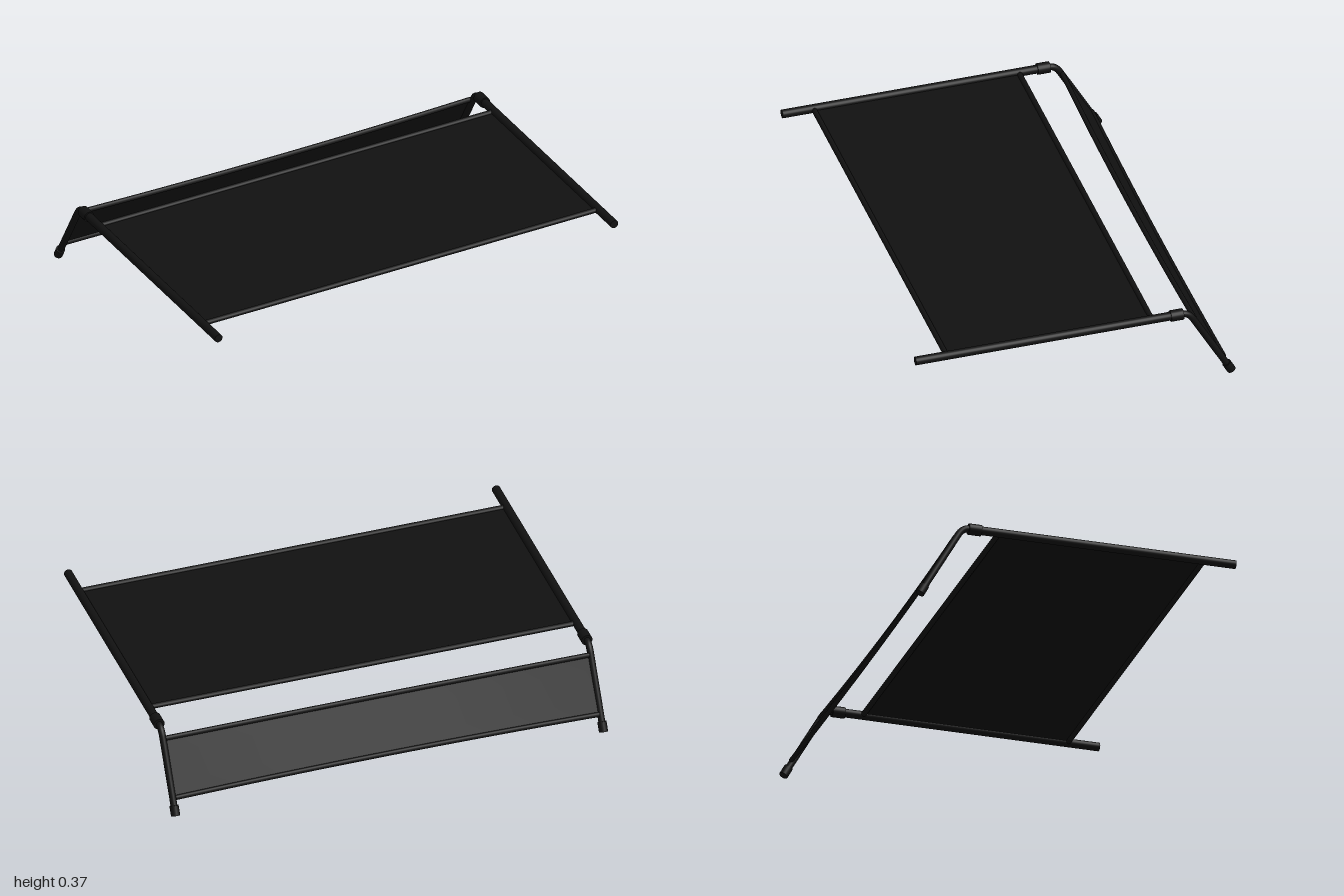
import * as THREE from 'three';

const dark = new THREE.MeshStandardMaterial({ color: 0x111111 });
const cloth = new THREE.MeshStandardMaterial({ color: 0x111111, side: THREE.DoubleSide });
const railX = 0.975, railY = 0.347, halfCloth = 0.965;

function add(parent, name, geometry, material = dark) {
  const mesh = new THREE.Mesh(geometry, material);
  mesh.name = name;
  parent.add(mesh);
  return mesh;
}

// Closed cylinder between two points
function rod(parent, name, a, b, radius) {
  const dir = b.clone().sub(a);
  const mesh = add(parent, name, new THREE.CylinderGeometry(radius, radius, dir.length(), 20));
  mesh.position.copy(a).add(b).multiplyScalar(0.5);
  mesh.quaternion.setFromUnitVectors(new THREE.Vector3(0, 1, 0), dir.normalize());
}

// Cloth stretched across x between two edges [y, z]; sag offsets apply at mid-width
function panel(name, edgeA, edgeB, sagA, sagB, hemRadius) {
  const group = new THREE.Group();
  group.name = name;
  const edgePoint = (edge, sag, u) => {
    const k = 1 - u * u;
    return new THREE.Vector3(u * halfCloth, edge[0] + sag[0] * k, edge[1] + sag[1] * k);
  };
  const sheet = new THREE.PlaneGeometry(2, 1, 8, 4);
  const pos = sheet.attributes.position;
  for (let i = 0; i < pos.count; i++) {
    const u = pos.getX(i), v = 0.5 - pos.getY(i);
    const p = edgePoint(edgeA, sagA, u).lerp(edgePoint(edgeB, sagB, u), v);
    pos.setXYZ(i, p.x, p.y, p.z);
  }
  sheet.computeVertexNormals();
  add(group, 'clothSheet', sheet, cloth);
  // Rolled hems along both long edges
  for (const [edge, sag] of [[edgeA, sagA], [edgeB, sagB]]) {
    const points = [];
    for (let i = 0; i <= 8; i++) points.push(edgePoint(edge, sag, i / 4 - 1));
    const curve = new THREE.CatmullRomCurve3(points);
    add(group, 'hem', new THREE.TubeGeometry(curve, 16, hemRadius, 10), cloth);
  }
  return group;
}

function sideFrame(x) {
  const group = new THREE.Group();
  group.name = x > 0 ? 'leftFrame' : 'rightFrame';
  const at = (y, z) => new THREE.Vector3(x, y, z);

  // Straight rail and the coupling at its back end
  rod(group, 'rail', at(railY, 0.72), at(railY, -0.45), 0.019);
  rod(group, 'coupling', at(railY, -0.43), at(railY, -0.487), 0.025);

  // Bent tube running down to the foot
  const path = new THREE.CurvePath();
  path.add(new THREE.LineCurve3(at(railY, -0.47), at(railY, -0.488)));
  path.add(new THREE.QuadraticBezierCurve3(at(railY, -0.488), at(railY, -0.514), at(0.31, -0.535)));
  path.add(new THREE.LineCurve3(at(0.31, -0.535), at(0.03, -0.695)));
  add(group, 'bentLeg', new THREE.TubeGeometry(path, 60, 0.015, 16));

  // Foot cap
  rod(group, 'footCap', at(0.051, -0.684), at(0.011, -0.706), 0.02);
  return group;
}

export function createModel() {
  const model = new THREE.Group();
  model.name = 'awningFrame';
  for (const side of [-1, 1]) model.add(sideFrame(side * railX));

  // Flat main cloth and the slightly sagging sloped cloth behind it
  model.add(panel('mainCloth', [railY, -0.348], [railY, 0.578], [0, 0], [0, 0], 0.012));
  model.add(panel('slopedCloth', [0.308, -0.542], [0.083, -0.674], [-0.005, 0.011], [0.005, 0.011], 0.011));
  return model;
}
